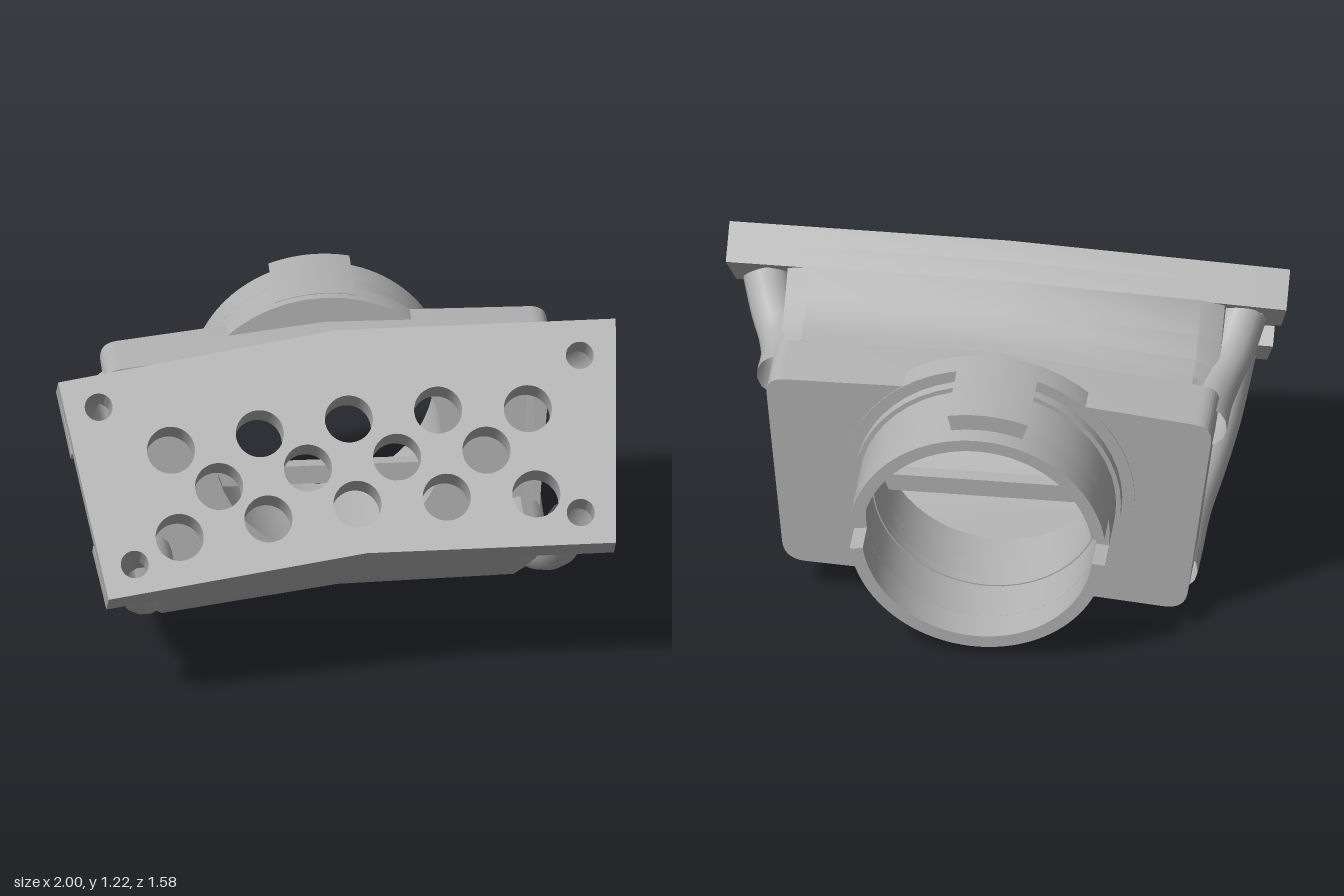
import * as THREE from 'three';
import { toCreasedNormals } from 'three/addons/utils/BufferGeometryUtils.js';

const grey = new THREE.MeshStandardMaterial({ color: 0xb3b3b3, side: THREE.DoubleSide });
grey.name = 'housing grey';

function add(parent, name, geo) {
  const mesh = new THREE.Mesh(geo, grey);
  mesh.name = name;
  parent.add(mesh);
  return mesh;
}

// Extrude a shape between two local z values
function slab(shape, z0, z1, crease = 0.5) {
  const geo = new THREE.ExtrudeGeometry(shape, { depth: z1 - z0, bevelEnabled: false, curveSegments: 24 });
  geo.translate(0, 0, z0);
  return toCreasedNormals(geo, crease);
}

const polygon = (pts) => new THREE.Shape(pts.map(([x, y]) => new THREE.Vector2(x, y)));

function circleHole(x, y, r) {
  const path = new THREE.Path();
  path.absarc(x, y, r, 0, Math.PI * 2, true);
  return path;
}

// Polygon whose corners marked with a radius are rounded
function roundedPolygon(pts) {
  const shape = new THREE.Shape();
  pts.forEach(([x, y, r], i) => {
    const here = new THREE.Vector2(x, y);
    const toward = (p) => new THREE.Vector2(p[0], p[1]).sub(here).setLength(r).add(here);
    const a = toward(pts[(i + pts.length - 1) % pts.length]);
    const b = toward(pts[(i + 1) % pts.length]);
    if (i === 0) shape.moveTo(a.x, a.y); else shape.lineTo(a.x, a.y);
    if (r > 0) shape.quadraticCurveTo(x, y, b.x, b.y);
  });
  shape.closePath();
  return shape;
}

// Sector of a ring, angles in degrees
function arcShape(inner, outer, from, to) {
  const a = THREE.MathUtils.degToRad(from), b = THREE.MathUtils.degToRad(to);
  const shape = new THREE.Shape();
  shape.absarc(0, 0, outer, a, b, false);
  shape.absarc(0, 0, inner, b, a, true);
  shape.closePath();
  return shape;
}

function ringShape(inner, outer) {
  const shape = new THREE.Shape();
  shape.absarc(0, 0, outer, 0, Math.PI * 2, false);
  shape.holes.push(circleHole(0, 0, inner));
  return shape;
}

// Tilted, slightly bent face plate with contact holes and notched ends
function buildPlate() {
  const plate = new THREE.Group();
  plate.name = 'facePlate';
  plate.position.set(0, 1.22, 0.122);
  plate.rotation.x = -0.767;
  const front = polygon([[1, 0.005], [0, 0], [-1, -0.154], [-0.86, -0.956], [0.07, -0.82], [0.96, -0.815]]);
  const back = polygon([
    [1, 0.005], [0, 0], [-1, -0.154], [-0.96, -0.4], [-0.82, -0.4], [-0.77, -0.74], [-0.9, -0.74],
    [-0.86, -0.956], [0.07, -0.82], [0.96, -0.815], [0.97, -0.6], [0.82, -0.6], [0.84, -0.25], [0.985, -0.25],
  ]);
  const rows = [
    [-0.61, [0.92, 0.955, 0.985, 1.0, 0.995]],
    [-0.445, [0.82, 0.86, 0.88, 0.89]],
    [-0.595, [0.69, 0.73, 0.76, 0.77, 0.77]],
  ];
  const holes = [[0.865, -0.125, 0.05], [0.84, -0.7, 0.05], [-0.86, -0.25, 0.05], [-0.76, -0.83, 0.05]];
  for (const [x, heights] of rows)
    heights.forEach((y, i) => holes.push([x + i * 0.32, (y - 1.22) / 0.719, 0.086]));
  for (const [x, y, r] of holes) {
    front.holes.push(circleHole(x, y, r));
    back.holes.push(circleHole(x, y, r));
  }
  add(plate, 'plateFront', slab(front, -0.075, 0));
  add(plate, 'plateBackWithEars', slab(back, -0.15, -0.075));
  return plate;
}

// Hollow curved hood swept from the plate to the rear block
function buildHood() {
  const half = [[0, 0], [0.7, 0], [0.78, 0.05], [0.78, 0.12], [0.71, 0.2], [0.68, 0.8], [0.7, 0.95], [0.63, 1], [0, 1]];
  const loop = [...half, ...half.slice(1, -1).reverse().map(([x, t]) => [-x, t])];
  // each section: top z, y and bottom z, y on the centre line
  const sections = [
    [0.014, 1.118, 0.572, 0.522], [-0.06, 1.035, 0.4, 0.35], [-0.12, 0.987, 0.2, 0.215],
    [-0.17, 0.967, 0, 0.145], [-0.24, 0.957, -0.2, 0.112],
  ];
  const pos = [], index = [], n = loop.length;
  for (const [tz, ty, bz, by] of sections) {
    const len = Math.hypot(bz - tz, by - ty);
    for (const [x, t] of loop) {
      const s = t + (x < 0 ? -x * 0.13 : -x * 0.02) / len;
      pos.push(x, ty + (by - ty) * s, tz + (bz - tz) * s);
    }
  }
  for (let i = 0; i < sections.length - 1; i++)
    for (let j = 0; j < n; j++) {
      const a = i * n + j, b = i * n + (j + 1) % n;
      index.push(a, b, a + n, b, b + n, a + n);
    }
  const geo = new THREE.BufferGeometry();
  geo.setAttribute('position', new THREE.Float32BufferAttribute(pos, 3));
  geo.setIndex(index);
  return toCreasedNormals(geo, 0.45);
}

// Rear block, collar and round socket, leaning slightly
function buildRear() {
  const rear = new THREE.Group();
  rear.name = 'rearSocket';
  rear.position.set(0, 0.525, -0.425);
  rear.rotation.x = -0.082;
  const block = roundedPolygon([
    [0.8, 0.42, 0.07], [0, 0.43, 0], [-0.81, 0.335, 0.07], [-0.7, -0.49, 0.08], [0, -0.425, 0], [0.74, -0.385, 0.08],
  ]);
  block.holes.push(circleHole(0, 0, 0.41));
  add(rear, 'rearBlock', slab(block, 0, 0.23));
  add(rear, 'collar', slab(ringShape(0.41, 0.525), -0.004, 0.085));
  add(rear, 'socketStep', slab(ringShape(0.41, 0.48), -0.04, 0));
  add(rear, 'socketTube', slab(ringShape(0.415, 0.462), -0.215, 0));
  // rim halves leave a notch on each side
  for (const start of [7.5, 187.5])
    add(rear, 'socketRim', slab(arcShape(0.415, 0.462, start, start + 165), -0.335, -0.215));
  add(rear, 'topKey', slab(arcShape(0.45, 0.527, 78, 110), -0.27, 0.05));
  const bar = add(rear, 'innerBar', new THREE.BoxGeometry(0.84, 0.07, 0.05));
  bar.position.set(0, -0.12, 0.17);
  return rear;
}

export function createModel() {
  const model = new THREE.Group();
  model.name = 'angledConnectorHood';
  model.add(buildPlate(), buildRear());
  add(model, 'hood', buildHood());

  // Curved screw bosses running from the plate ears into the rear block
  const upper = [[0.1, 1.03], [0.01, 0.935], [-0.08, 0.88], [-0.18, 0.86], [-0.3, 0.855]];
  const lower = [[0.5, 0.61], [0.35, 0.44], [0.2, 0.34], [0.02, 0.27], [-0.18, 0.24], [-0.3, 0.24]];
  const bosses = [
    ['rightUpperBoss', upper, 0.865, 0.765, 0, 0], ['rightLowerBoss', lower, 0.81, 0.68, 0, 0],
    ['leftUpperBoss', upper, -0.84, -0.755, 0.09, -0.09], ['leftLowerBoss', lower, -0.75, -0.65, 0.08, -0.09],
  ];
  for (const [name, path, x0, x1, dz, dy] of bosses) {
    const pts = path.map(([z, y], i) => {
      const t = i / (path.length - 1), side = Math.min(1, t * 1.6);
      return new THREE.Vector3(x0 + (x1 - x0) * side, y + dy, z + dz * (1 - t));
    });
    add(model, name, new THREE.TubeGeometry(new THREE.CatmullRomCurve3(pts), 20, 0.085, 14));
  }

  // Fine ribs across the top of the hood
  for (const [z, y] of [[-0.05, 1.04], [-0.115, 0.985], [-0.165, 0.962]]) {
    const rib = add(model, 'topRib', new THREE.CylinderGeometry(0.012, 0.003, 0.7, 6));
    rib.rotation.z = -Math.PI / 2 + 0.01;
    rib.position.set(0.33, y, z);
  }
  return model;
}
